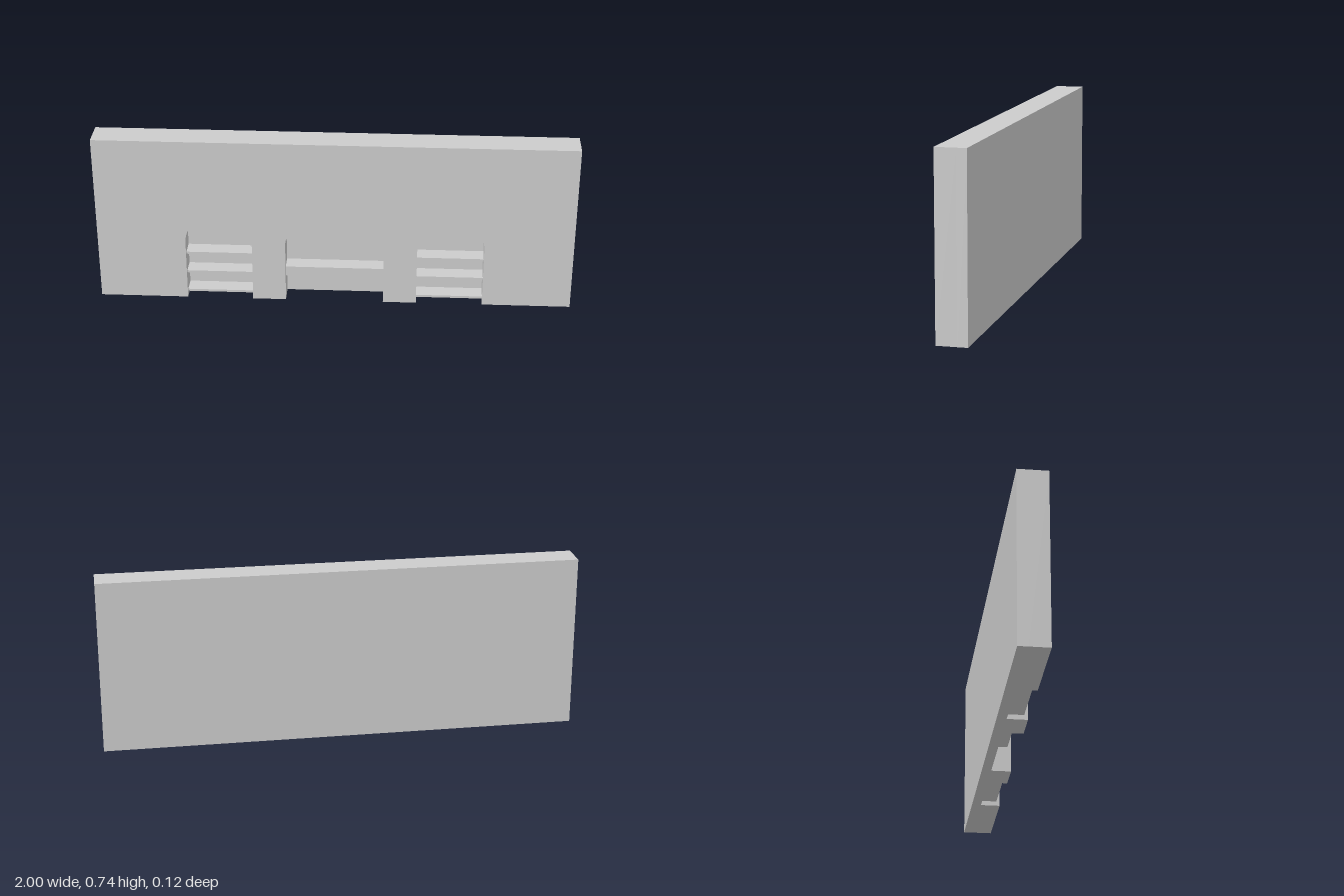
import * as THREE from 'three';
import { toCreasedNormals } from 'three/addons/utils/BufferGeometryUtils.js';

const HALF_W = 1, HEIGHT = 0.735;
const FRONT = 0.062, BACK = -0.062, NICHE_BACK = -0.022, SHELF_FRONT = 0.047;
const SPRING = 0.265, ARCH_RISE = 0.139;

// Arched niches, left to right: centre, half width and shelves as [bottom, top]
const sideShelves = [[0.02, 0.03], [0.112, 0.122], [0.203, 0.213]];
const niches = [
  { name: 'rightNiche', x: -0.488, half: 0.14, shelves: sideShelves },
  { name: 'centreNiche', x: 0, half: 0.207, shelves: [[0.11, 0.153]] },
  { name: 'leftNiche', x: 0.488, half: 0.14, shelves: sideShelves },
];

export function createModel() {
  const group = new THREE.Group();
  group.name = 'nicheWall';
  const material = new THREE.MeshStandardMaterial({ color: 0xcccccc });

  const add = (parent, name, geometry, x, y, z) => {
    const mesh = new THREE.Mesh(geometry, material);
    mesh.name = name;
    mesh.position.set(x, y, z);
    parent.add(mesh);
  };

  // Front layer: wall outline with arched openings cut up from the floor
  const outline = new THREE.Shape();
  outline.moveTo(-HALF_W, 0);
  for (const { x, half } of niches) {
    outline.lineTo(x - half, 0);
    outline.lineTo(x - half, SPRING);
    outline.absellipse(x, SPRING, half, ARCH_RISE, Math.PI, 0, true);
    outline.lineTo(x + half, 0);
  }
  outline.lineTo(HALF_W, 0);
  outline.lineTo(HALF_W, HEIGHT);
  outline.lineTo(-HALF_W, HEIGHT);
  outline.closePath();
  const wall = new THREE.ExtrudeGeometry(outline, {
    depth: FRONT - NICHE_BACK, bevelEnabled: false, curveSegments: 32,
  });
  add(group, 'archedWall', toCreasedNormals(wall, 0.5), 0, 0, NICHE_BACK);

  // Solid back layer closing the niches
  const backDepth = NICHE_BACK - BACK;
  add(group, 'backWall', new THREE.BoxGeometry(HALF_W * 2, HEIGHT, backDepth),
    0, HEIGHT / 2, BACK + backDepth / 2);

  // Shelves, set slightly behind the wall face
  const shelfDepth = SHELF_FRONT - NICHE_BACK;
  for (const { name, x, half, shelves } of niches) {
    const niche = new THREE.Group();
    niche.name = name;
    group.add(niche);
    for (const [bottom, top] of shelves) {
      add(niche, 'shelf', new THREE.BoxGeometry(half * 2, top - bottom, shelfDepth),
        x, (bottom + top) / 2, NICHE_BACK + shelfDepth / 2);
    }
  }
  return group;
}
